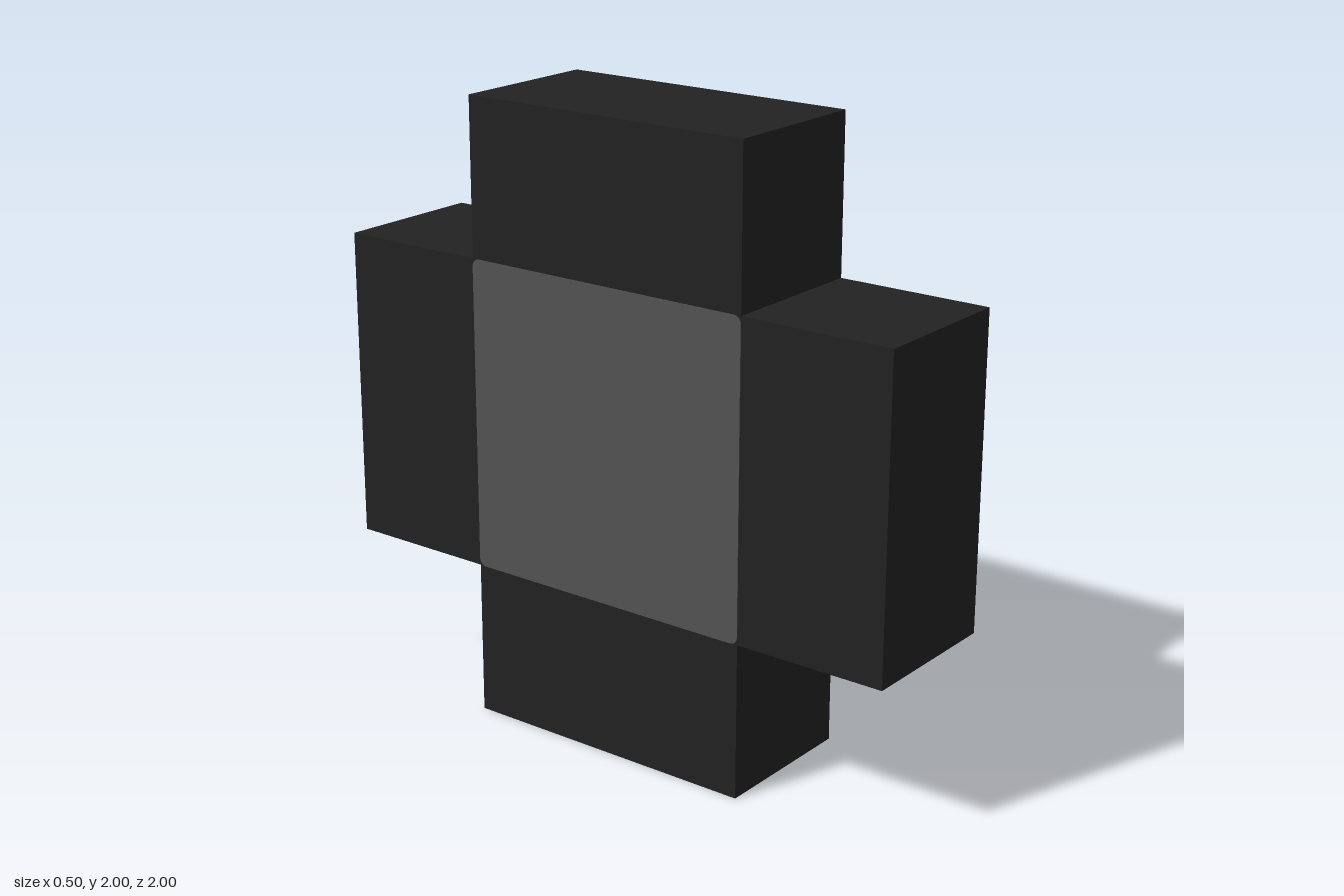
import * as THREE from 'three';

const dark = new THREE.MeshStandardMaterial({ color: 0x222222 });
dark.name = 'charcoal';
const grey = new THREE.MeshStandardMaterial({ color: 0x525252 });
grey.name = 'grey';

// Extrudes a z/y outline along x, centred on x = 0
function slab(shape, width, material, name) {
  const geometry = new THREE.ExtrudeGeometry(shape, { depth: width, bevelEnabled: false, curveSegments: 4 });
  geometry.translate(0, 0, -width / 2).rotateY(Math.PI / 2);
  const mesh = new THREE.Mesh(geometry, material);
  mesh.name = name;
  return mesh;
}

// Square with slightly rounded corners, centred on the origin
function roundedSquare(h, r) {
  const s = new THREE.Shape();
  s.absarc(h - r, h - r, r, 0, Math.PI / 2);
  s.absarc(r - h, h - r, r, Math.PI / 2, Math.PI);
  s.absarc(r - h, r - h, r, Math.PI, Math.PI * 1.5);
  s.absarc(h - r, r - h, r, Math.PI * 1.5, Math.PI * 2);
  s.closePath();
  return s;
}

export function createModel() {
  const group = new THREE.Group();
  group.name = 'directionPad';

  // Cross-shaped body with four equal arms
  const a = 0.5, b = 1;
  const cross = new THREE.Shape([
    [a, -b], [a, -a], [b, -a], [b, a], [a, a], [a, b],
    [-a, b], [-a, a], [-b, a], [-b, -a], [-a, -a], [-a, -b],
  ].map(([x, y]) => new THREE.Vector2(x, y)));
  const body = slab(cross, 0.5, dark, 'crossBody');
  body.position.y = 1;
  group.add(body);

  // Thin centre panel on each broad side
  for (const [side, name] of [[1, 'leftCentrePanel'], [-1, 'rightCentrePanel']]) {
    const panel = slab(roundedSquare(0.5, 0.025), 0.004, grey, name);
    panel.position.set(side * 0.25, 1, 0);
    group.add(panel);
  }

  return group;
}
